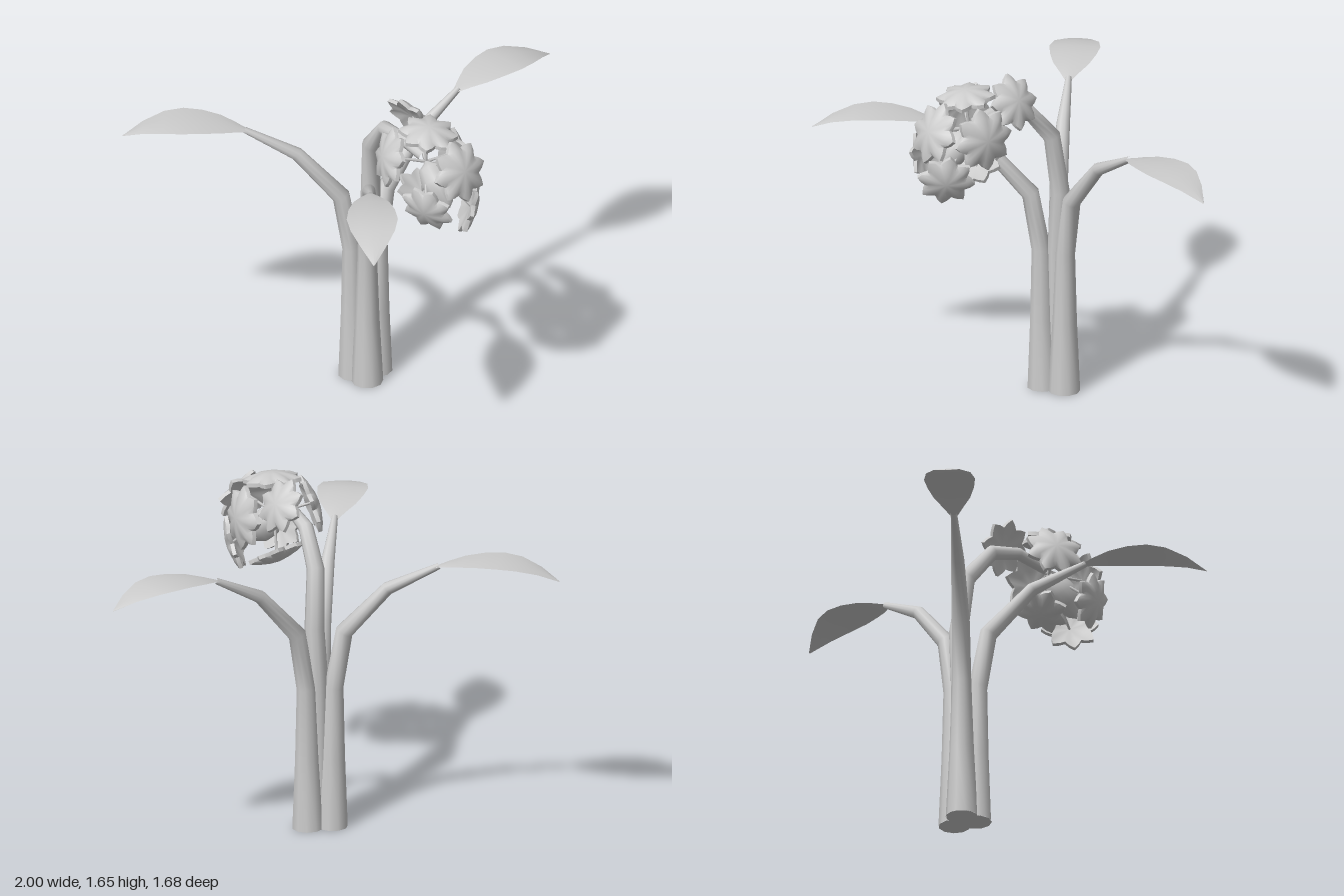
import * as THREE from 'three';
import { toCreasedNormals } from 'three/addons/utils/BufferGeometryUtils.js';

const grey = new THREE.MeshStandardMaterial({ color: 0xcccccc });
const thin = new THREE.MeshStandardMaterial({ color: 0xcccccc, side: THREE.DoubleSide });
const V = (x, y, z) => new THREE.Vector3(x, y, z);

function add(parent, name, geometry, material = grey) {
  const mesh = new THREE.Mesh(geometry, material);
  mesh.name = name;
  parent.add(mesh);
  return mesh;
}

// Surface from rows of points, each row having the same number of points
function gridSurface(rows, closed) {
  const n = rows[0].length, index = [];
  for (let i = 0; i < rows.length - 1; i++) {
    for (let j = 0; j < (closed ? n : n - 1); j++) {
      const k = (j + 1) % n, a = i * n + j, b = i * n + k;
      index.push(a, b, a + n, b, b + n, a + n);
    }
  }
  const g = new THREE.BufferGeometry().setFromPoints(rows.flat());
  g.setIndex(index);
  g.computeVertexNormals();
  return g;
}

// Tapered stem: a ring of given radius at every path point
function stemGeometry(points, radii, ref, sides = 10) {
  const rows = points.map((p, i) => {
    const t = V(0, 0, 0);
    if (i > 0) t.add(p.clone().sub(points[i - 1]).normalize());
    if (i < points.length - 1) t.add(points[i + 1].clone().sub(p).normalize());
    t.normalize();
    const u = ref.clone().addScaledVector(t, -ref.dot(t)).normalize();
    const v = t.clone().cross(u);
    return Array.from({ length: sides }, (_, j) => {
      const a = (j / sides) * Math.PI * 2;
      return p.clone().addScaledVector(u, Math.cos(a) * radii[i]).addScaledVector(v, Math.sin(a) * radii[i]);
    });
  });
  return gridSurface(rows, true);
}

// Flat arching leaf: distance out, height, half width
function leafGeometry() {
  const sections = [
    [0.565, 1.335, 0.018], [0.62, 1.352, 0.048], [0.69, 1.368, 0.085], [0.78, 1.38, 0.11],
    [0.87, 1.383, 0.121], [0.96, 1.374, 0.105], [1.06, 1.345, 0.06], [1.155, 1.297, 0.002],
  ];
  const rows = sections.map(([x, y, w]) =>
    [-1, -0.5, 0, 0.5, 1].map(s => V(x, y + 0.004 * (1 - s * s), -s * w)));
  return gridSurface(rows, false);
}

// Shallow domed blossom with eight pointed lobes, facing +y
function blossomGeometry() {
  const profile = [[0, -0.004], [0.08, -0.012], [0.15, -0.026], [0.15, -0.006], [0.11, 0.012], [0.055, 0.026], [0, 0.032]];
  const g = new THREE.LatheGeometry(profile.map(p => new THREE.Vector2(...p)), 32);
  const pos = g.attributes.position;
  for (let i = 0; i < pos.count; i++) {
    const x = pos.getX(i), z = pos.getZ(i);
    const r = Math.hypot(x, z) / 0.15;
    const s = 1 - 0.27 * r * (0.5 - 0.5 * Math.cos(8 * Math.atan2(z, x)));
    pos.setX(i, x * s);
    pos.setZ(i, z * s);
  }
  return toCreasedNormals(g, 0.8);
}

export function createModel() {
  const model = new THREE.Group();
  model.name = 'plant';

  // Three leaf stalks fanned around the clump
  const stalk = stemGeometry(
    [V(0.062, 0, 0), V(0.067, 0.35, 0), V(0.072, 0.7, 0), V(0.122, 0.98, 0), V(0.33, 1.21, 0), V(0.58, 1.34, 0)],
    [0.076, 0.058, 0.046, 0.043, 0.032, 0.015], V(0, 0, 1));
  const leaf = leafGeometry();
  const base = new THREE.CircleGeometry(0.076, 10).rotateX(Math.PI / 2).translate(0.062, 0, 0);
  for (const angle of [0, 137, -130]) {
    const branch = new THREE.Group();
    branch.name = 'leafBranch';
    branch.position.set(-0.157, 0, -0.057);
    branch.rotation.y = THREE.MathUtils.degToRad(angle);
    add(branch, 'leafStalk', stalk);
    add(branch, 'stalkBase', base);
    add(branch, 'leaf', leaf, thin);
    model.add(branch);
  }

  // Flower stalk, arching forward into the flower head
  add(model, 'flowerStalk', stemGeometry(
    [V(-0.155, 0, -0.06), V(-0.15, 0.7, -0.06), V(-0.13, 1.0, -0.06), V(-0.155, 1.28, -0.03),
      V(-0.185, 1.44, 0.1), V(-0.21, 1.465, 0.24), V(-0.21, 1.43, 0.4)],
    [0.05, 0.05, 0.047, 0.042, 0.036, 0.03, 0.024], V(1, 0, 0)));

  // Drooping bud at the end of the stalk
  const budShape = [[0, -0.15], [0.03, -0.125], [0.065, -0.06], [0.075, 0], [0.055, 0.07], [0, 0.1]];
  const bud = add(model, 'bud', new THREE.LatheGeometry(budShape.map(p => new THREE.Vector2(...p)), 10));
  bud.position.set(-0.21, 1.34, 0.49);
  bud.rotation.x = -0.75;

  // Blossoms facing outward around the head, each on a thin stem
  const blossom = blossomGeometry();
  const core = V(-0.21, 1.41, 0.42);
  const blossoms = [
    [V(-0.11, 1.53, 0.22), V(0.85, 0.45, -0.1), 0.92],
    [V(-0.045, 1.41, 0.45), V(1, 0.1, 0.1), 1.03],
    [V(-0.11, 1.22, 0.63), V(0.75, -0.3, 0.55), 0.92],
    [V(-0.21, 1.585, 0.44), V(0, 1, 0.15), 0.95],
    [V(-0.19, 1.45, 0.65), V(0, 0.4, 0.9), 1],
    [V(-0.2, 1.21, 0.38), V(-0.1, -0.85, -0.5), 0.9],
    [V(-0.37, 1.46, 0.33), V(-0.9, 0.3, -0.33), 0.95],
    [V(-0.35, 1.27, 0.58), V(-0.88, -0.3, 0.35), 0.88],
  ];
  for (const [p, n, size] of blossoms) {
    const flower = add(model, 'blossom', blossom);
    flower.position.copy(p);
    flower.quaternion.setFromUnitVectors(V(0, 1, 0), n.normalize());
    flower.scale.setScalar(size);
    add(model, 'blossomStem', stemGeometry([core, p], [0.008, 0.006], V(0.3, 0.5, 0.8), 5));
  }
  return model;
}
